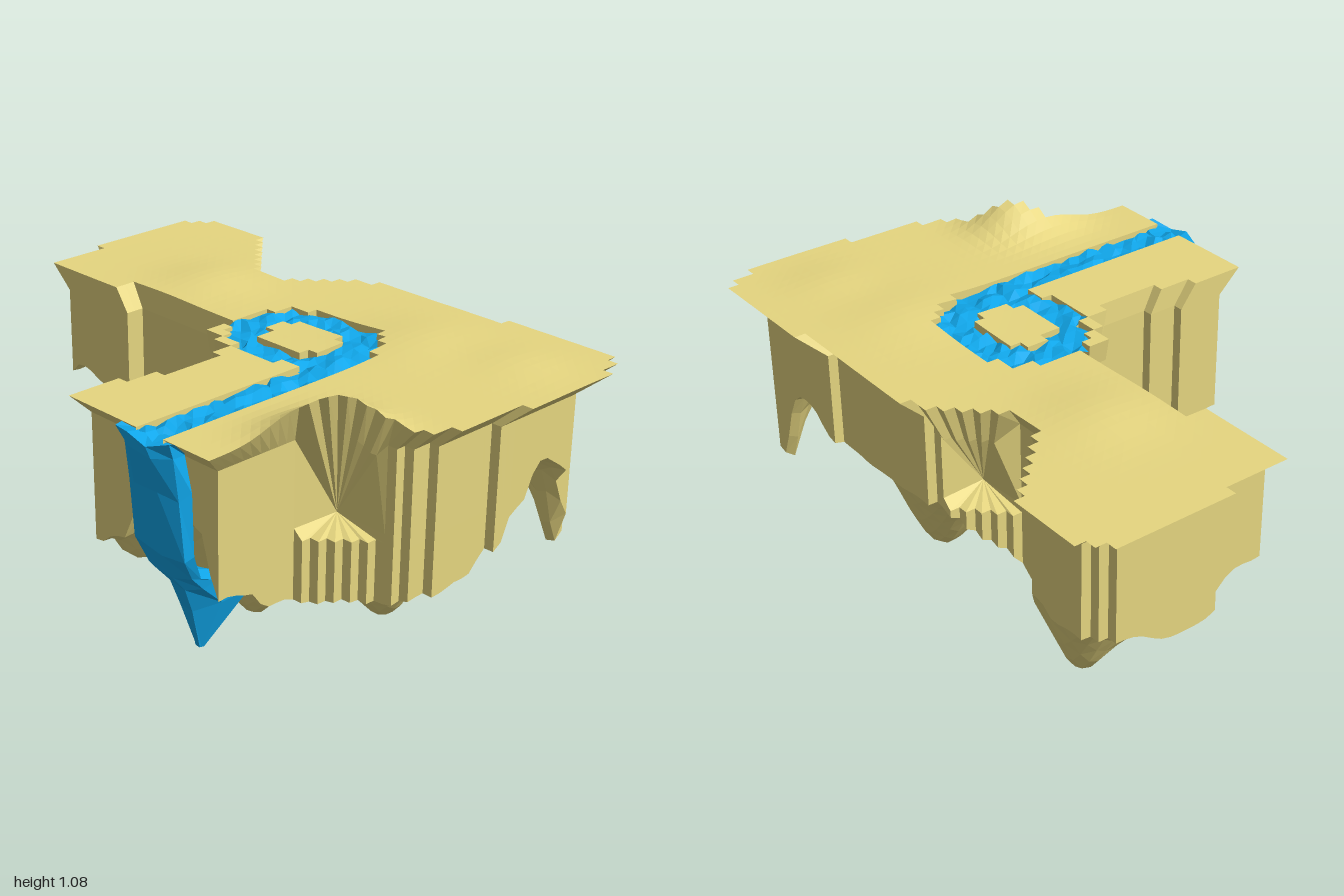
import * as THREE from 'three';

const STEP = 1 / 26, NX = 52, NZ = 37, X0 = -1, Z0 = -0.733;
const SX = 0.91, SZ = 0.88; // walls are inset from the rim

// Plan outline of the plateau (x, z)
const OUTLINE = [
  [-1, -0.65], [-0.92, -0.69], [-0.92, -0.74], [-0.67, -0.74], [-0.41, -0.475], [-0.29, -0.475], [-0.2, -0.56], [-0.04, -0.68],
  [-0.04, -0.69], [0.49, -0.69], [0.5, -0.74], [0.92, -0.74], [0.96, -0.64], [1, -0.61], [1, -0.22], [0.95, -0.22], [0.95, 0.02],
  [0.91, 0.11], [0.77, 0.2], [0.69, 0.27], [0.62, 0.37], [0.62, 0.7], [0, 0.7], [0, 0.49], [0.04, 0.49], [0.04, 0.4],
  [0.08, 0.4], [0.08, 0.2], [0.04, 0.1], [0, 0.07], [-0.12, 0.02], [-0.12, -0.06], [-0.63, -0.06], [-0.63, -0.02],
  [-0.96, -0.02], [-0.96, -0.22], [-1, -0.22],
];

// Underside heights at scattered points (x, z, y)
const UNDER = [
  [0.88, 0.02, 0.4], [0.89, -0.12, 0.41], [0.91, -0.21, 0.48], [0.91, -0.3, 0.6], [0.91, -0.42, 0.73], [0.88, -0.52, 0.69],
  [0, 0.6, 0.47], [0.12, 0.6, 0.52], [0.23, 0.6, 0.7], [0.47, 0.6, 0.7], [0.57, 0.6, 0.47], [0.57, 0.5, 0.46],
  [0.02, 0.45, 0.36], [0.3, 0.4, 0.37], [0.57, 0.4, 0.38], [0.2, 0.28, 0.31], [0.02, 0.2, 0.26], [0.72, 0.12, 0.37],
  [0.57, 0.25, 0.36], [-0.9, -0.03, 0.57], [-0.83, -0.03, 0.64], [-0.62, -0.04, 0.6], [-0.46, -0.04, 0.55],
  [-0.36, -0.04, 0.4], [-0.17, -0.03, 0.36], [0.64, -0.64, 0.66], [0.42, -0.6, 0.58], [0.2, -0.62, 0.57], [0, -0.6, 0.58],
  [-0.28, -0.42, 0.46], [-0.88, -0.6, 0.57], [-0.9, -0.3, 0.49], [-0.72, -0.28, 0.42], [-0.75, -0.64, 0.58], [-0.42, -0.36, 0.38],
  [-0.39, -0.44, 0.5], [-0.5, -0.54, 0.62], [-0.61, -0.64, 0.66],
  [0.12, -0.3, 0.4], [-0.12, -0.25, 0.38], [0.64, -0.2, 0.38], [0.25, -0.05, 0.25], [0.42, 0.02, 0.35], [0.68, -0.42, 0.57],
];

// Hanging rock points (x, z, tip height, radius)
const SPIKES = [
  [-0.06, -0.11, 0.2, 0.08], [0.08, 0, 0, 0.15], [0.42, -0.26, 0.035, 0.185], [-0.33, -0.28, 0.085, 0.12],
  [-0.6, -0.45, 0.22, 0.14], [0.82, -0.62, 0.32, 0.08],
];

// Recesses in the walls: x range, z range, inner corner
const RECESSES = [[0.56, 0.74, 0.13, 0.34, 0.57, 0.13], [-0.27, -0.07, -0.6, -0.43, -0.06, -0.42]];

const hash = (a, b) => { const s = Math.sin(a * 12.99 + b * 78.23) * 43758.5; return s - Math.floor(s) - 0.5; };
const bump = (x, z, cx, cz, r) => Math.exp(-((x - cx) ** 2 + (z - cz) ** 2) / (r * r));

function inside(x, z) {
  let hit = false;
  OUTLINE.forEach(([ax, az], i) => {
    const [bx, bz] = OUTLINE[(i + 1) % OUTLINE.length];
    if ((az > z) !== (bz > z) && x < ax + (bx - ax) * (z - az) / (bz - az)) hit = !hit;
  });
  return hit;
}

// Round pool with an islet, and a channel to the front edge
function isWater(x, z) {
  const ring = (rx, rz) => Math.abs((x - 0.14) / rx) ** 2.4 + Math.abs((z + 0.145) / rz) ** 2.4;
  return (ring(0.255, 0.212) < 1 && ring(0.125, 0.105) > 1) || (x > 0.29 && x < 0.41 && z > -0.18);
}

function topY(x, z) {
  return 0.978 + 0.09 * bump(x, z, 0.73, 0.27, 0.12) + 0.05 * bump(x, z, 0.68, 0.4, 0.12)
    + 0.02 * bump(x, z, -0.45, -0.28, 0.17) + 0.02 * bump(x, z, 0.42, -0.38, 0.2) + 0.015 * bump(x, z, 0.75, -0.45, 0.15);
}

function bottomY(x, z) {
  let sum = 0, weight = 0;
  for (const [px, pz, py] of UNDER) {
    const w = 1 / ((x - px) ** 2 + (z - pz) ** 2 + 0.0012) ** 1.6;
    sum += w * py; weight += w;
  }
  let y = sum / weight;
  for (const [px, pz, tip, r] of SPIKES) y += (Math.min(tip, y) - y) * bump(x, z, px, pz, r);
  return Math.max(0, y);
}

// Position of a rim point on the inset wall, straightening the diagonal behind the left arm
function wallXZ(x, z) {
  const wx = x * SX, wz = z * SZ;
  const diagonal = wx > -0.61 && wx < -0.37 && wz < -0.42 && wz < wx * 0.94;
  return [wx, diagonal ? -0.42 + (wx + 0.37) * 0.94 : wz];
}

function quadMesh(name, quads, material) {
  const pos = [];
  for (const [a, b, c, d] of quads) pos.push(...a, ...b, ...c, ...a, ...c, ...d);
  const geo = new THREE.BufferGeometry();
  geo.setAttribute('position', new THREE.Float32BufferAttribute(pos, 3));
  geo.computeVertexNormals();
  const mesh = new THREE.Mesh(geo, material);
  mesh.name = name;
  return mesh;
}

// Wall column below one rim corner: rim, flare, recess, ledge, foot
function column(x, z, y) {
  const [wx, wz] = wallXZ(x, z), foot = bottomY(wx, wz);
  const recess = RECESSES.find(([xa, xb, za, zb]) => wx > xa && wx < xb && wz > za && wz < zb);
  const [mx, mz] = recess ? recess.slice(4) : [wx, wz];
  const flare = recess ? [x + (mx - x) * 0.3, y - 0.14, z + (mz - z) * 0.3] : [wx, 0.9, wz];
  return [[x, y, z], flare, [mx, Math.max(0.61, foot), mz], [wx, Math.max(0.58, foot), wz], [wx, foot, wz]];
}

export function createModel() {
  const rock = new THREE.MeshStandardMaterial({ color: 0xe6d680, flatShading: true, side: THREE.DoubleSide });
  const blue = new THREE.MeshStandardMaterial({ color: 0x10a8ec, flatShading: true, side: THREE.DoubleSide });
  const group = new THREE.Group();
  group.name = 'floatingIsland';

  const kind = (i, j) => {
    const x = X0 + (i + 0.5) * STEP, z = Z0 + (j + 0.5) * STEP;
    return !inside(x, z) ? 0 : isWater(x, z) ? 2 : 1;
  };
  const plateau = [], walls = [], underside = [], banks = [], stream = [];
  const neighbours = [[-1, 0], [0, 1], [1, 0], [0, -1]];

  for (let i = 0; i < NX; i++) for (let j = 0; j < NZ; j++) {
    const k = kind(i, j);
    if (!k) continue;
    const corners = [[i, j], [i, j + 1], [i + 1, j + 1], [i + 1, j]];
    const xz = corners.map(([a, b]) => [X0 + a * STEP, Z0 + b * STEP]);
    const tops = xz.map(([x, z]) => [x, topY(x, z), z]);
    if (k === 1) plateau.push(tops);
    else stream.push(corners.map(([a, b], n) => [
      xz[n][0] + hash(a, b) * 0.016, 0.965 + hash(b, a + 7) * 0.025, xz[n][1] + hash(a + 3, b) * 0.016]));
    underside.push(xz.map(([x, z]) => {
      const [wx, wz] = wallXZ(x, z);
      return [wx, bottomY(wx, wz), wz];
    }).reverse());

    neighbours.forEach(([di, dj], n) => {
      const other = kind(i + di, j + dj), m = (n + 1) % 4;
      const p = tops[n], q = tops[m];
      if (other === 0) {
        const drop = k === 2 ? 0.03 : 0;
        const P = column(p[0], p[2], p[1] - drop), Q = column(q[0], q[2], q[1] - drop);
        for (let r = 0; r < 4; r++) walls.push([P[r], P[r + 1], Q[r + 1], Q[r]]);
      } else if (k === 1 && other === 2) {
        banks.push([p, [p[0], 0.93, p[2]], [q[0], 0.93, q[2]], q]);
      }
    });
  }
  group.add(quadMesh('plateau', plateau, rock), quadMesh('cliffWalls', walls, rock),
    quadMesh('rockyUnderside', underside, rock), quadMesh('streamBanks', banks, rock),
    quadMesh('stream', stream, blue));

  // Waterfall lofted from sections (y, front z, back z, half width)
  const sections = [[0.97, 0.73, 0.64, 0.115], [0.93, 0.725, 0.6, 0.11], [0.8, 0.7, 0.6, 0.115], [0.6, 0.68, 0.6, 0.115],
    [0.5, 0.63, 0.55, 0.1], [0.45, 0.59, 0.46, 0.085], [0.36, 0.55, 0.27, 0.07], [0.2, 0.51, 0.49, 0.012]];
  const SIDES = 8, fall = [];
  const round = (v) => Math.max(-1, Math.min(1, v * 1.08));
  const rings = sections.map(([y, front, back, half], r) => Array.from({ length: SIDES }, (_, s) => {
    const a = (s + 0.5) / SIDES * Math.PI * 2;
    return [0.355 + round(Math.sin(a)) * half + hash(r, s) * 0.02, y + (r < 7 ? hash(s, r) * 0.025 : 0),
      (front + back) / 2 + round(Math.cos(a)) * (front - back) / 2];
  }));
  for (let r = 0; r + 1 < rings.length; r++) for (let s = 0; s < SIDES; s++) {
    const t = (s + 1) % SIDES;
    fall.push([rings[r][s], rings[r + 1][s], rings[r + 1][t], rings[r][t]]);
  }
  const lip = rings[0];
  fall.push([lip[0], lip[1], lip[2], lip[3]], [lip[0], lip[3], lip[4], lip[7]], [lip[4], lip[5], lip[6], lip[7]]);
  group.add(quadMesh('waterfall', fall, blue));
  return group;
}
